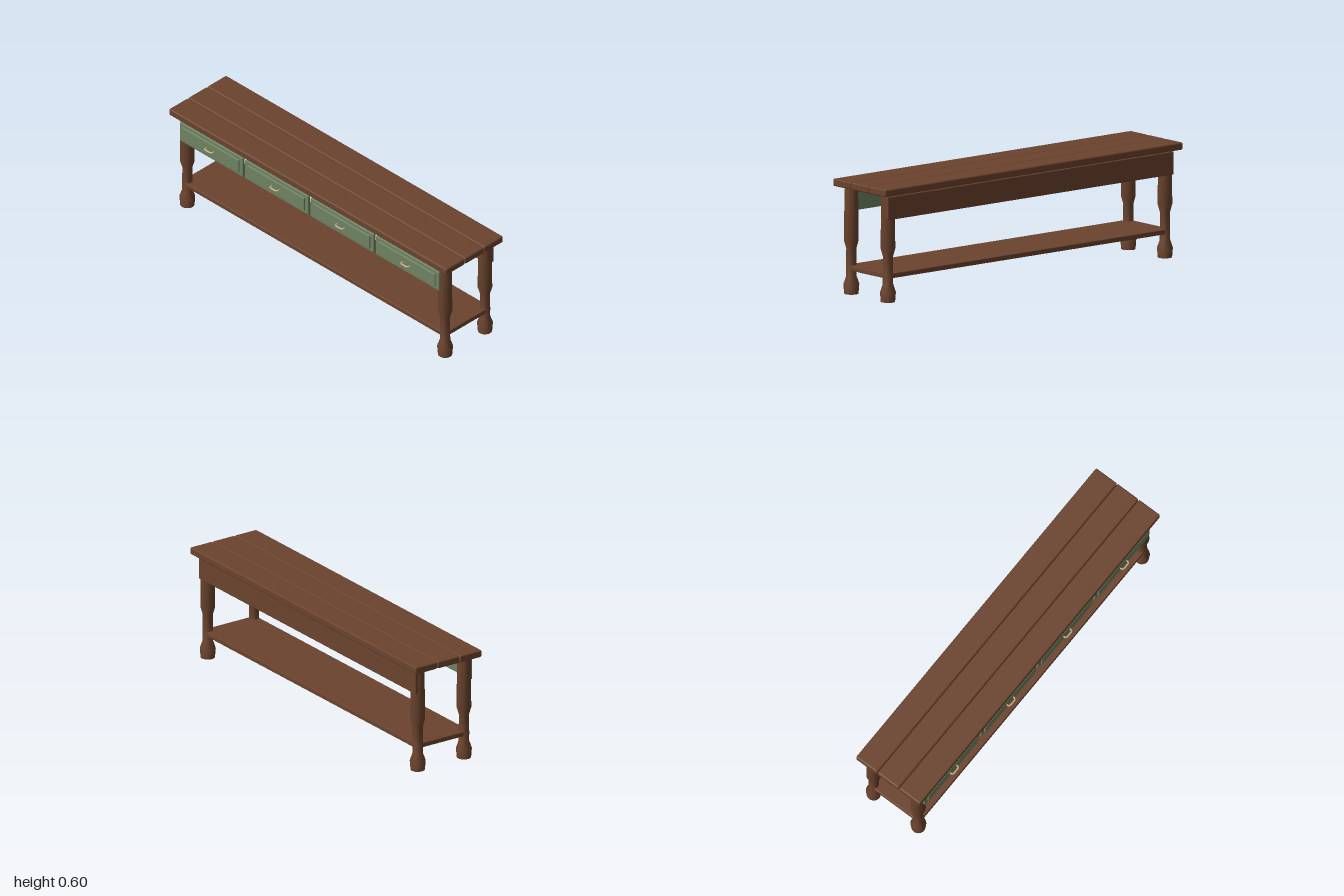
import * as THREE from 'three';
import { toCreasedNormals } from 'three/addons/utils/BufferGeometryUtils.js';
import { RoundedBoxGeometry } from 'three/addons/geometries/RoundedBoxGeometry.js';

export function createModel() {
  const wood = new THREE.MeshStandardMaterial({ name: 'brown wood', color: 0x6b432d });
  const paint = new THREE.MeshStandardMaterial({ name: 'green paint', color: 0x6f8263 });
  const brass = new THREE.MeshStandardMaterial({ name: 'pale brass', color: 0xc8b088 });
  const model = new THREE.Group();
  model.name = 'consoleTable';

  // Rounded board given by its limits on each axis
  function board(name, material, [x0, x1], [y0, y1], [z0, z1], radius, parent = model) {
    const geometry = new RoundedBoxGeometry(x1 - x0, y1 - y0, z1 - z0, 2, radius);
    const mesh = new THREE.Mesh(geometry, material);
    mesh.name = name;
    mesh.position.set((x0 + x1) / 2, (y0 + y1) / 2, (z0 + z1) / 2);
    parent.add(mesh);
    return mesh;
  }

  // Three top planks with narrow gaps
  for (let i = 0; i < 3; i++) {
    const z = 0.202 - i * 0.1395;
    board('topPlank', wood, [-1, 1], [0.56, 0.599], [z - 0.137, z], 0.008);
  }

  // Turned legs
  const profile = [
    [0, 0], [0.037, 0], [0.041, 0.05], [0.027, 0.092], [0.026, 0.235],
    [0.038, 0.278], [0.035, 0.547], [0, 0.547],
  ].map(([r, y]) => new THREE.Vector2(r, y));
  const legGeometry = toCreasedNormals(new THREE.LatheGeometry(profile, 20), 0.6);
  for (const x of [-0.93, 0.93]) {
    for (const z of [0.138, -0.152]) {
      const leg = new THREE.Mesh(legGeometry, wood);
      leg.name = z > 0 ? 'frontLeg' : 'backLeg';
      leg.position.set(x, 0, z);
      model.add(leg);
    }
  }

  // Lower shelf and back apron
  board('shelf', wood, [-0.95, 0.95], [0.123, 0.149], [-0.173, 0.16], 0.004);
  board('backApron', wood, [-0.96, 0.96], [0.432, 0.553], [-0.188, -0.145], 0.005);

  // Drawer fronts with raised panels and bar pulls
  const pullPath = new THREE.CatmullRomCurve3([
    [-0.026, 0, 0.19], [-0.026, 0, 0.203], [-0.018, 0, 0.2105],
    [0.018, 0, 0.2105], [0.026, 0, 0.203], [0.026, 0, 0.19],
  ].map((p) => new THREE.Vector3(...p)), false, 'catmullrom', 0.2);
  const pullGeometry = new THREE.TubeGeometry(pullPath, 24, 0.0045, 8);
  for (let i = 0; i < 4; i++) {
    const drawer = new THREE.Group();
    drawer.name = 'drawer';
    drawer.position.x = -0.711 + i * 0.472;
    board('drawerFront', paint, [-0.228, 0.228], [0.422, 0.539], [0.17, 0.186], 0.004, drawer);
    board('drawerPanel', paint, [-0.205, 0.205], [0.44, 0.52], [0.178, 0.194], 0.004, drawer);
    const pull = new THREE.Mesh(pullGeometry, brass);
    pull.name = 'drawerPull';
    pull.position.y = 0.481;
    drawer.add(pull);
    model.add(drawer);
  }

  return model;
}
